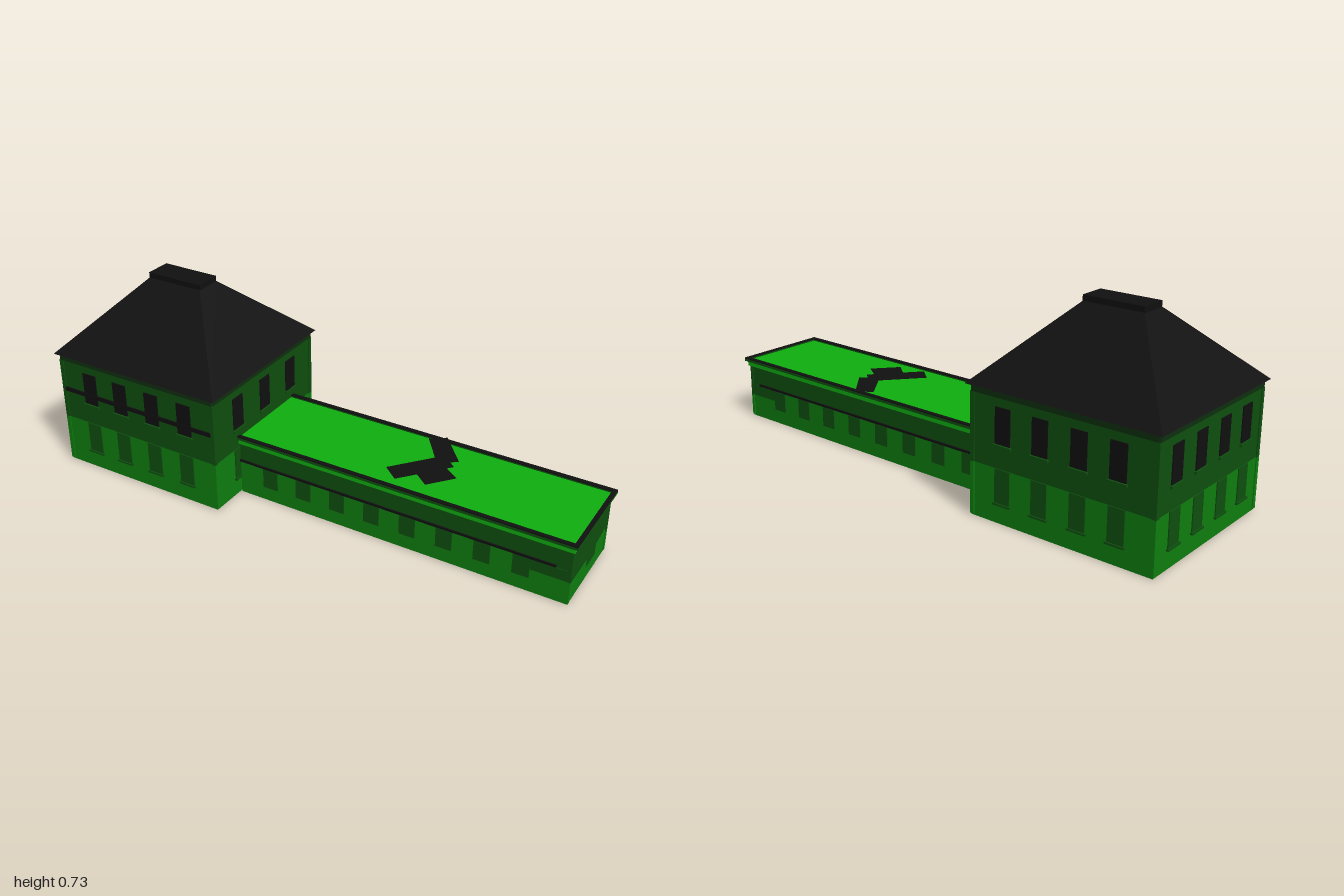
import * as THREE from 'three';

const mat = (name, color, side = THREE.FrontSide) => {
  const m = new THREE.MeshStandardMaterial({ color, side });
  m.name = name;
  return m;
};

export function createModel() {
  const black = mat('black', 0x101010, THREE.DoubleSide);
  const deep = mat('deep green', 0x0f300f);
  const dark = mat('dark green', 0x0f500f, THREE.DoubleSide);
  const mid = mat('mid green', 0x0f800f, THREE.DoubleSide);
  const bright = mat('bright green', 0x10b010);

  const model = new THREE.Group();
  model.name = 'buildingWithWing';

  const add = (parent, name, geometry, material) => {
    const mesh = new THREE.Mesh(geometry, material);
    mesh.name = name;
    parent.add(mesh);
    return mesh;
  };
  // box given by its limits
  const box = (parent, name, material, x0, x1, y0, y1, z0, z1) => {
    const mesh = add(parent, name, new THREE.BoxGeometry(x1 - x0, y1 - y0, z1 - z0), material);
    mesh.position.set((x0 + x1) / 2, (y0 + y1) / 2, (z0 + z1) / 2);
    return mesh;
  };
  // open ring of four walls
  const walls = (parent, name, material, hx, hz, y0, y1) => {
    for (let i = 0; i < 4; i++) {
      const [w, d] = i % 2 ? [hz, hx] : [hx, hz];
      const g = new THREE.PlaneGeometry(2 * w, y1 - y0).translate(0, (y0 + y1) / 2, d).rotateY(i * Math.PI / 2);
      add(parent, name, g, material);
    }
  };
  // group whose local z = 0 lies on one wall; local x runs along the wall
  const face = (parent, name, angle, distance) => {
    const g = new THREE.Group();
    g.name = name;
    g.rotation.y = angle;
    g.position.set(Math.sin(angle) * distance, 0, Math.cos(angle) * distance);
    parent.add(g);
    return g;
  };
  const plate = (parent, name, material, x0, x1, y0, y1, depth = 0.004) =>
    box(parent, name, material, x0, x1, y0, y1, 0.0005, depth);

  // ---- main house ----
  const house = new THREE.Group();
  house.name = 'house';
  house.position.x = -0.6375;
  model.add(house);
  const HX = 0.345, HZ = 0.316;
  walls(house, 'lowerWall', mid, HX, HZ, 0, 0.19);
  walls(house, 'upperWall', dark, HX, HZ, 0.19, 0.43);
  walls(house, 'eaveWall', dark, HX, HZ, 0.43, 0.455);

  // corner posts and frieze under the eaves
  for (const sx of [-1, 1]) for (const sz of [-1, 1]) {
    const x = sx * (HX - 0.004), z = sz * (HZ - 0.004);
    box(house, 'lowerCornerPost', mid, x - 0.008, x + 0.008, 0.005, 0.19, z - 0.008, z + 0.008);
    box(house, 'upperCornerPost', dark, x - 0.008, x + 0.008, 0.19, 0.43, z - 0.008, z + 0.008);
  }
  const sides = [
    ['front', 0, HZ, [-0.2125, -0.0725, 0.0725, 0.2175]],
    ['right', Math.PI / 2, HX, [-0.17, 0, 0.17]],
    ['back', Math.PI, HZ, [-0.2175, -0.0725, 0.0725, 0.2125]],
    ['left', -Math.PI / 2, HX, [-0.2125, -0.0725, 0.0725, 0.2125]],
  ];
  for (const [name, angle, distance, centres] of sides) {
    const f = face(house, name + 'Windows', angle, distance);
    const half = (name === 'front' || name === 'back') ? HX : HZ;
    plate(f, 'frieze', deep, -half, half, 0.43, 0.454);
    for (const x of centres) {
      plate(f, 'upperWindow', black, x - 0.03, x + 0.03, 0.275, 0.4);
      plate(f, 'upperSill', dark, x - 0.035, x + 0.035, 0.265, 0.274, 0.009);
      plate(f, 'lowerWindow', dark, x - 0.03, x + 0.03, 0.072, 0.19);
      plate(f, 'lowerSill', dark, x - 0.035, x + 0.035, 0.065, 0.072, 0.009);
    }
    if (name === 'front') plate(f, 'frontStripe', black, -0.335, 0.335, 0.303, 0.319, 0.006);
  }

  // hipped roof: the top of a box is drawn in to a small flat
  const roofGeo = new THREE.BoxGeometry(0.722, 0.255, 0.666);
  const p = roofGeo.attributes.position;
  for (let i = 0; i < p.count; i++) {
    if (p.getY(i) > 0) p.setXYZ(i, Math.sign(p.getX(i)) * 0.113, p.getY(i), Math.sign(p.getZ(i)) * 0.05);
  }
  const flatRoof = roofGeo.toNonIndexed();
  flatRoof.computeVertexNormals();
  add(house, 'hippedRoof', flatRoof, black).position.y = 0.5825;
  box(house, 'roofCap', black, -0.114, 0.114, 0.705, 0.73, -0.05, 0.05);

  // ---- low wing ----
  const wing = new THREE.Group();
  wing.name = 'wing';
  wing.position.x = 0.3475;
  model.add(wing);
  const WX = 0.635, WZ = 0.17;
  walls(wing, 'wingLowerWall', mid, WX, WZ, 0, 0.13);
  walls(wing, 'wingUpperWall', dark, WX, WZ, 0.13, 0.215);
  for (const sz of [-1, 1]) {
    const x = WX - 0.003, z = sz * (WZ - 0.003);
    box(wing, 'wingCornerPostBase', mid, x - 0.006, x + 0.006, 0.005, 0.09, z - 0.007, z + 0.007);
    box(wing, 'wingCornerPostTop', dark, x - 0.006, x + 0.006, 0.09, 0.215, z - 0.007, z + 0.007);
  }
  for (const s of [1, -1]) {
    const f = face(wing, s > 0 ? 'wingFrontDetails' : 'wingBackDetails', s > 0 ? 0 : Math.PI, WZ);
    const span = (name, m, a, b, y0, y1, d) =>
      plate(f, name, m, Math.min(s * a, s * b), Math.max(s * a, s * b), y0, y1, d);
    for (let i = 0; i < 8; i++) {
      const x = -0.505 + i * 0.139;
      span('wingWindow', dark, x - 0.03, x + 0.03, 0.055, 0.131);
    }
    span('wingWallPatch', dark, 0.45, WX, 0.09, 0.131, 0.003);
    span('wingStripe', black, -WX, 0.585, 0.133, 0.141, 0.006);
  }

  // end wall: stepped dark area
  const steps = [[-0.17, 0.088], [-0.025, 0.088], [-0.025, 0.055], [0.06, 0.055], [0.06, 0.098],
    [0.165, 0.112], [0.165, 0.15], [0.17, 0.15], [0.17, 0.2], [-0.17, 0.2]];
  const endShape = new THREE.Shape(steps.map(([x, y]) => new THREE.Vector2(x, y)));
  const end = face(wing, 'wingEndDetails', Math.PI / 2, WX);
  add(end, 'wingEndUpper', new THREE.ShapeGeometry(endShape), dark).position.z = 0.003;

  // flat roof with a rim on three sides
  box(wing, 'wingRoof', bright, -WX, 0.643, 0.211, 0.235, -0.18, 0.18);
  const rim = (x0, x1, z0, z1) => {
    box(wing, 'roofRim', dark, x0, x1, 0.23, 0.24, z0, z1);
    box(wing, 'roofRimTop', black, x0, x1, 0.24, 0.244, z0, z1);
  };
  rim(-WX, 0.652, 0.17, 0.186);
  rim(-WX, 0.652, -0.188, -0.172);
  rim(0.637, 0.652, -0.172, 0.17);

  // dark patches on the flat roof, corners as x and z
  const patches = [
    [[0.31, -0.155], [0.365, -0.195], [0.47, -0.07], [0.41, -0.02]],
    [[0.41, -0.08], [0.47, -0.03], [0.33, 0.14], [0.27, 0.09]],
    [[0.42, -0.03], [0.51, 0.03], [0.435, 0.12], [0.355, 0.055]],
  ];
  patches.forEach((corners, i) => {
    const shape = new THREE.Shape(corners.map(([x, z]) => new THREE.Vector2(x, -z)));
    const g = new THREE.ShapeGeometry(shape).rotateX(-Math.PI / 2);
    add(model, 'roofPatch', g, black).position.y = 0.245 + i * 0.0005;
  });

  return model;
}
